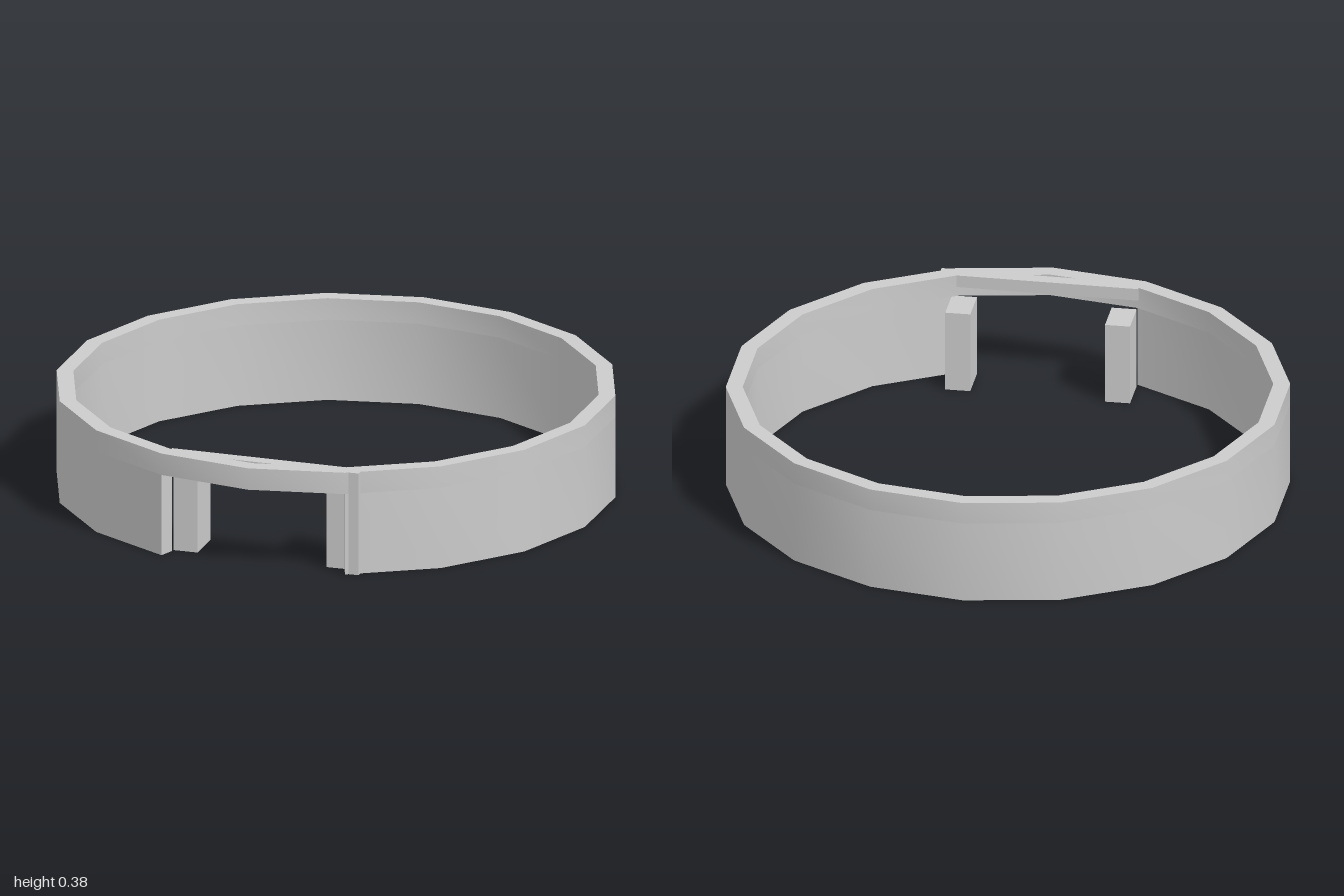
import * as THREE from 'three';
import { toCreasedNormals } from 'three/addons/utils/BufferGeometryUtils.js';

const SIDES = 18, OUTER = 1, INNER = 0.94;
const HEIGHT = 0.38, GAP_TOP = 0.30;

const material = new THREE.MeshStandardMaterial({ color: 0xcccccc });

// Points on a polygon from side a to side b, counted from the front (+z) corner
function arc(radius, a, b) {
  const points = [];
  for (let i = a; i <= b; i++) {
    const t = (i / SIDES) * Math.PI * 2;
    points.push(new THREE.Vector2(radius * Math.sin(t), -radius * Math.cos(t)));
  }
  return points;
}

// Plan shape extruded upwards, smooth around the ring but sharp at the rims
function extrudeUp(shape, y0, y1) {
  const geometry = new THREE.ExtrudeGeometry(shape, { depth: y1 - y0, bevelEnabled: false });
  geometry.rotateX(-Math.PI / 2).translate(0, y0, 0);
  return toCreasedNormals(geometry, 0.5);
}

function add(group, name, geometry) {
  const mesh = new THREE.Mesh(geometry, material);
  mesh.name = name;
  group.add(mesh);
}

// Box given by its limits on each axis
function box(x0, x1, y0, y1, z0, z1) {
  return new THREE.BoxGeometry(x1 - x0, y1 - y0, z1 - z0)
    .translate((x0 + x1) / 2, (y0 + y1) / 2, (z0 + z1) / 2);
}

export function createModel() {
  const group = new THREE.Group();
  group.name = 'ringWall';

  // Closed band above the opening
  const band = new THREE.Shape(arc(OUTER, 0, SIDES - 1));
  band.holes.push(new THREE.Path(arc(INNER, 0, SIDES - 1)));
  add(group, 'upperBand', extrudeUp(band, GAP_TOP, HEIGHT));

  // Wall below it, open across the two front sides
  const wall = new THREE.Shape([
    ...arc(OUTER, 1, SIDES - 1),
    ...arc(INNER, 1, SIDES - 1).reverse(),
  ]);
  add(group, 'lowerWall', extrudeUp(wall, 0, GAP_TOP));

  // Thin bar filling the inside corner over the opening
  const bar = new THREE.Shape([
    new THREE.Vector2(-0.325, -0.87),
    new THREE.Vector2(-0.325, -0.92),
    new THREE.Vector2(0.33, -0.93),
    new THREE.Vector2(0.33, -0.88),
  ]);
  add(group, 'lintelBar', extrudeUp(bar, 0.335, HEIGHT));

  // Door posts reaching inwards
  add(group, 'rightPost', box(-0.32, -0.23, 0, GAP_TOP, 0.725, 0.872));
  add(group, 'leftPost', box(0.255, 0.345, 0, GAP_TOP, 0.735, 0.882));

  // Narrow full-height strip beside the opening
  add(group, 'doorStop', box(0.342, 0.39, 0, HEIGHT, 0.89, 0.933));

  return group;
}
